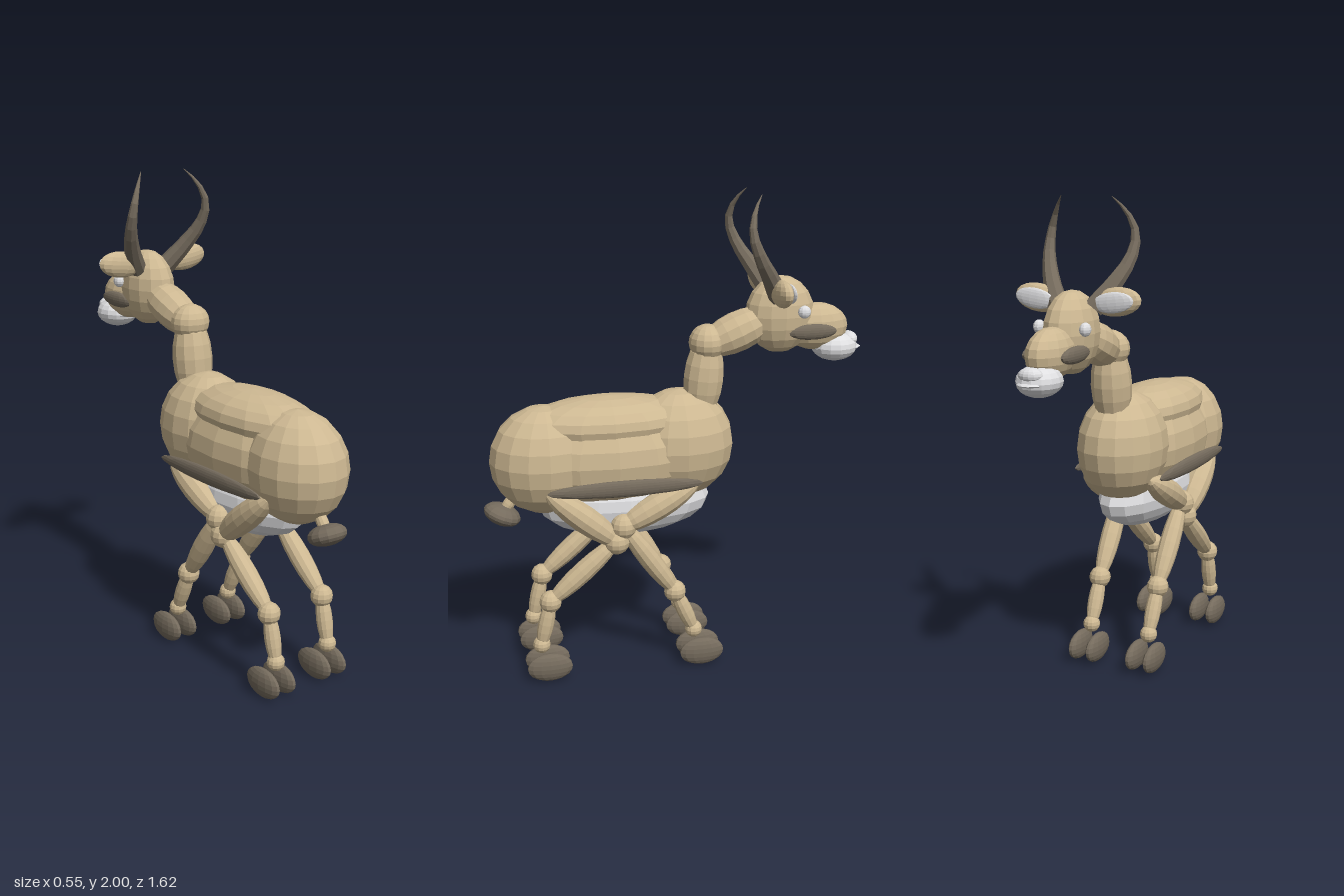
import * as THREE from 'three';

const mat = (name, color) => {
  const m = new THREE.MeshStandardMaterial({ color, flatShading: true });
  m.name = name;
  return m;
};

export function createModel() {
  const tan = mat('tan coat', 0xcdb892);
  const white = mat('white', 0xdedee0);
  const dark = mat('dark brown', 0x756b5d);
  const model = new THREE.Group();
  model.name = 'antelope';

  // Ellipsoid with centre c and radii r
  const blob = (name, m, c, r, seg = 14, rings = 10) => {
    const mesh = new THREE.Mesh(new THREE.SphereGeometry(1, seg, rings), m);
    mesh.name = name;
    mesh.position.set(...c);
    mesh.scale.set(...r);
    model.add(mesh);
    return mesh;
  };

  // Ellipsoid stretched between two points, reaching slightly past both
  const limb = (name, m, a, b, radius, over = 0.02) => {
    const p = new THREE.Vector3(...a), q = new THREE.Vector3(...b);
    const d = q.clone().sub(p), mid = p.clone().add(q).multiplyScalar(0.5);
    const mesh = blob(name, m, mid.toArray(), [radius, d.length() / 2 + over, radius], 12, 10);
    mesh.quaternion.setFromUnitVectors(new THREE.Vector3(0, 1, 0), d.normalize());
    return mesh;
  };

  // Body
  blob('chest', tan, [0, 0.96, -0.02], [0.185, 0.235, 0.232], 16, 10);
  blob('rump', tan, [0, 0.93, 0.55], [0.19, 0.23, 0.23], 16, 10);
  blob('trunk', tan, [0, 0.93, 0.27], [0.2, 0.215, 0.43], 16, 10);
  blob('back', tan, [0, 1.075, 0.28], [0.172, 0.11, 0.37], 16, 10);
  blob('belly', white, [0, 0.72, 0.215], [0.15, 0.145, 0.365], 16, 10);

  // Tail
  limb('tailRoot', tan, [0, 0.78, 0.68], [0, 0.71, 0.73], 0.025, 0.01);
  blob('tailTuft', dark, [0, 0.7, 0.735], [0.08, 0.043, 0.08]).rotation.x = -0.4;

  // Neck
  limb('lowerNeck', tan, [0, 1.09, -0.11], [0, 1.38, -0.14], 0.085, 0.04);
  blob('neckJoint', tan, [0, 1.385, -0.14], [0.085, 0.077, 0.077]);
  limb('upperNeck', tan, [0, 1.37, -0.14], [0, 1.48, -0.4], 0.085, 0.03);

  // Head
  blob('skull', tan, [0, 1.49, -0.45], [0.1, 0.163, 0.147]);
  blob('muzzle', tan, [0, 1.43, -0.61], [0.08, 0.1, 0.138]);
  blob('mouth', white, [0, 1.34, -0.695], [0.088, 0.062, 0.098]);
  blob('lip', white, [0, 1.336, -0.7], [0.07, 0.014, 0.11]);
  blob('nose', white, [0, 1.37, -0.758], [0.05, 0.03, 0.036]);

  for (const s of [-1, 1]) {
    const side = s > 0 ? 'left' : 'right';

    // Face and flank markings
    blob(side + 'Eye', white, [s * 0.1, 1.515, -0.525], [0.022, 0.027, 0.027], 10, 8);
    blob(side + 'CheekPatch', dark, [s * 0.083, 1.425, -0.57], [0.02, 0.033, 0.106]);
    blob(side + 'FlankStripe', dark, [s * 0.2, 0.845, 0.247], [0.017, 0.035, 0.33]);

    // Ears
    blob(side + 'Ear', tan, [s * 0.17, 1.61, -0.405], [0.105, 0.056, 0.036]).rotation.z = s * 0.12;
    blob(side + 'InnerEar', white, [s * 0.17, 1.61, -0.437], [0.087, 0.04, 0.013]).rotation.z = s * 0.12;

    // Horn: tube along a curve, narrowed to a point
    const path = new THREE.CatmullRomCurve3([
      [0.075, 1.58, -0.42], [0.135, 1.67, -0.365], [0.18, 1.77, -0.305],
      [0.185, 1.86, -0.275], [0.155, 1.94, -0.29], [0.11, 2, -0.33],
    ].map(([x, y, z]) => new THREE.Vector3(s * x, y, z)));
    const rows = 10, sides = 8;
    const horn = new THREE.TubeGeometry(path, rows, 0.042, sides);
    const pos = horn.attributes.position, v = new THREE.Vector3();
    for (let i = 0; i < pos.count; i++) {
      const t = Math.floor(i / (sides + 1)) / rows;
      const c = path.getPointAt(t);
      v.fromBufferAttribute(pos, i).sub(c).multiplyScalar(1 - 0.97 * t ** 1.2).add(c);
      pos.setXYZ(i, v.x, v.y, v.z);
    }
    const hornMesh = new THREE.Mesh(horn, dark);
    hornMesh.name = side + 'Horn';
    model.add(hornMesh);

    // Legs: each joint given as [y, z]
    const legs = [
      ['Front', [0.82, -0.045], [0.66, 0.25], [0.34, 0.03], [0.152, -0.053], -0.08],
      ['Hind', [0.82, 0.55], [0.595, 0.28], [0.347, 0.562], [0.152, 0.605], 0.577],
    ];
    for (const [end, hip, knee, hock, ankle, hoofZ] of legs) {
      const n = side + end;
      const at = (x, [y, z]) => [s * x, y, z];
      limb(n + 'Thigh', tan, at(0.15, hip), at(0.148, knee), 0.058, 0.025);
      blob(n + 'Knee', tan, at(0.148, knee), [0.055, 0.055, 0.055], 12, 8);
      limb(n + 'Shank', tan, at(0.145, knee), at(0.14, hock), 0.044);
      blob(n + 'Hock', tan, at(0.14, hock), [0.047, 0.047, 0.047], 12, 8);
      limb(n + 'Pastern', tan, at(0.14, hock), at(0.138, ankle), 0.034);
      blob(n + 'Ankle', tan, at(0.138, ankle), [0.037, 0.037, 0.037], 12, 8);
      for (const x of [0.095, 0.178])
        blob(n + 'Hoof', dark, [s * x, 0.062, hoofZ], [0.029, 0.062, 0.097]);
    }
  }
  return model;
}
